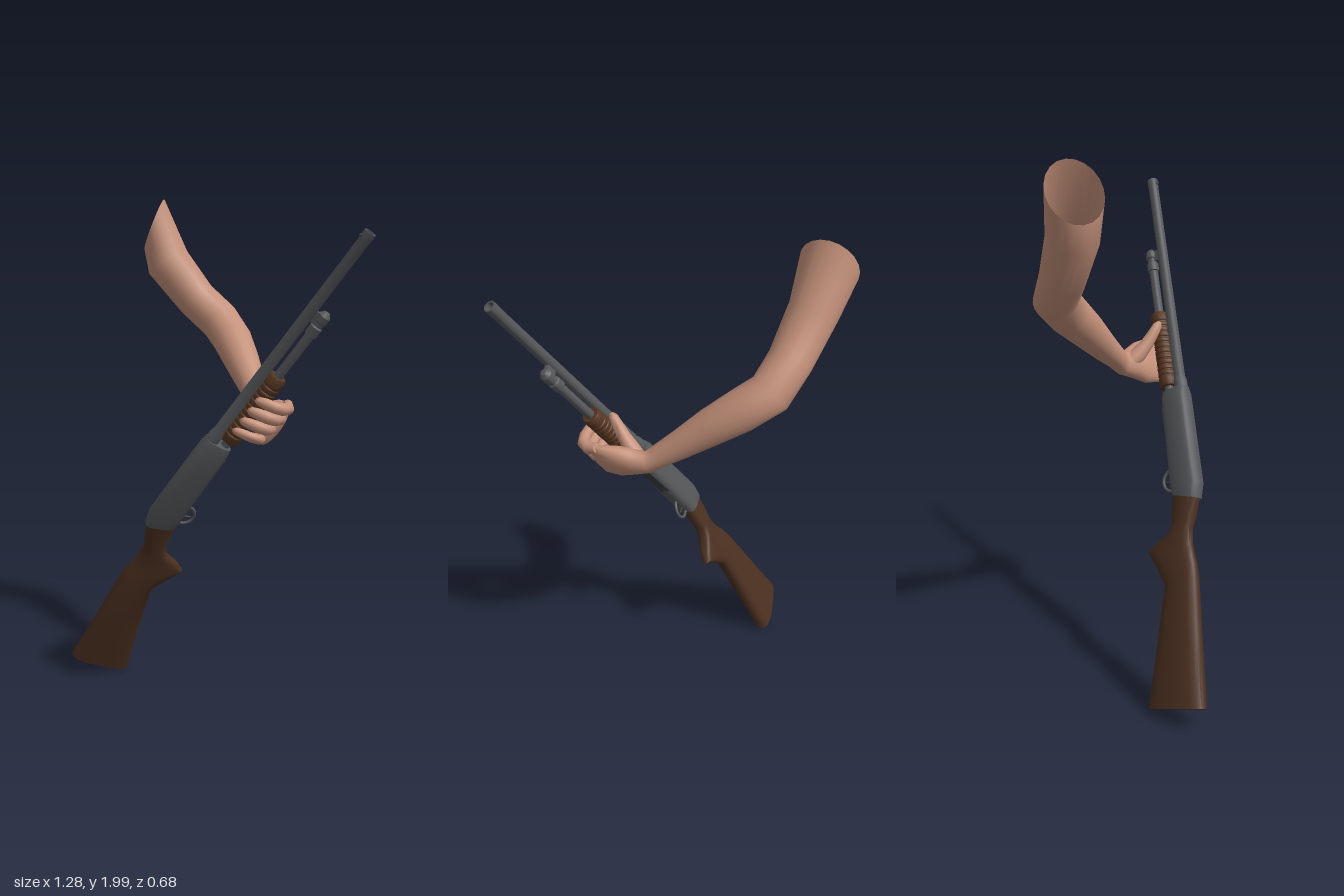
import * as THREE from 'three';
import { toCreasedNormals } from 'three/addons/utils/BufferGeometryUtils.js';

const V = (x, y, z) => new THREE.Vector3(x, y, z);
const paint = (name, color, side = THREE.FrontSide) => {
  const m = new THREE.MeshStandardMaterial({ color, side });
  m.name = name;
  return m;
};

// Shotgun frame: a runs to the muzzle, b up from the barrel, c to the side
const FORWARD = V(0.572, 0.79, -0.223).normalize();
const SIDE = FORWARD.clone().cross(V(-0.32, 0.46, 0.83)).normalize();
const UP = SIDE.clone().cross(FORWARD);
const FRAME = new THREE.Matrix4().makeBasis(FORWARD, UP, SIDE).setPosition(0.06, 1.08, 0.155);
const G = (a, b, c) => V(a, b, c).applyMatrix4(FRAME);

// Skin over rings; each ring has a centre c and half axes u, v
function loft(rings, { n = 16, power = 1, capStart = true, capEnd = true, crease = 0.7 } = {}) {
  const pos = [], idx = [];
  const bend = (t) => Math.sign(t) * Math.abs(t) ** power;
  for (const { c, u, v } of rings) {
    for (let j = 0; j < n; j++) {
      const t = (j / n) * Math.PI * 2;
      const p = c.clone().addScaledVector(u, bend(Math.cos(t))).addScaledVector(v, bend(Math.sin(t)));
      pos.push(p.x, p.y, p.z);
    }
  }
  const last = rings.length - 1;
  for (let i = 0; i < last; i++) {
    for (let j = 0; j < n; j++) {
      const k = (j + 1) % n, p = i * n, q = p + n;
      idx.push(p + j, p + k, q + k, p + j, q + k, q + j);
    }
  }
  const cap = (i, flip) => {
    const m = pos.length / 3, { c } = rings[i];
    pos.push(c.x, c.y, c.z);
    for (let j = 0; j < n; j++) {
      const p = i * n + j, q = i * n + ((j + 1) % n);
      idx.push(m, flip ? q : p, flip ? p : q);
    }
  };
  if (capStart) cap(0, true);
  if (capEnd) cap(last, false);
  const g = new THREE.BufferGeometry();
  g.setAttribute('position', new THREE.Float32BufferAttribute(pos, 3));
  g.setIndex(idx);
  return toCreasedNormals(g, crease);
}

// Limb through [point, radius along the gun, radius across]
function limb(list, opts = {}) {
  const rings = list.map(([c, ru, rv = ru], i) => {
    const before = list[Math.max(i - 1, 0)][0], after = list[Math.min(i + 1, list.length - 1)][0];
    const t = i === 0 && opts.startDir ? opts.startDir : after.clone().sub(before).normalize();
    const u = FORWARD.clone().addScaledVector(t, -FORWARD.dot(t)).normalize();
    const v = t.clone().cross(u);
    return { c, u: u.multiplyScalar(ru), v: v.multiplyScalar(rv) };
  });
  return loft(rings, { crease: 1.3, ...opts });
}

// Body along the gun from [top a, top b, bottom a, bottom b, half width]
const body = (list, power) => loft(list.map(([ta, tb, ba, bb, w]) => ({
  c: V((ta + ba) / 2, (tb + bb) / 2, 0),
  u: V((ta - ba) / 2, (tb - bb) / 2, 0),
  v: V(0, 0, w),
})), { n: 20, power });

// Turned part along the gun from [radius, a]
const turned = (points) => toCreasedNormals(
  new THREE.LatheGeometry(points.map(([r, a]) => new THREE.Vector2(r, a)), 16).rotateZ(-Math.PI / 2), 0.6);

export function createModel() {
  const steel = paint('steel', 0x555759);
  const darkSteel = paint('dark steel', 0x3b3d3f);
  const wood = paint('stock wood', 0x4b3020);
  const pumpWood = paint('pump wood', 0x55351f);
  const skin = paint('skin', 0xc4917a, THREE.DoubleSide);

  const model = new THREE.Group();
  const gun = new THREE.Group();
  gun.name = 'shotgun';
  gun.applyMatrix4(FRAME);
  const arm = new THREE.Group();
  arm.name = 'arm';
  model.add(gun, arm);
  const add = (parent, name, geometry, material, x = 0, y = 0, z = 0) => {
    const mesh = new THREE.Mesh(geometry, material);
    mesh.name = name;
    mesh.position.set(x, y, z);
    parent.add(mesh);
    return mesh;
  };

  // Wooden stock with pistol grip
  add(gun, 'stock', body([
    [-1.19, -0.088, -1.15, -0.34, 0.042],
    [-0.95, -0.068, -0.93, -0.262, 0.042],
    [-0.72, -0.045, -0.72, -0.192, 0.037],
    [-0.67, -0.043, -0.635, -0.225, 0.034],
    [-0.63, -0.047, -0.575, -0.255, 0.03],
    [-0.59, -0.05, -0.55, -0.215, 0.03],
    [-0.53, -0.042, -0.535, -0.155, 0.03],
    [-0.49, -0.02, -0.5, -0.122, 0.031],
    [-0.4, 0.018, -0.36, -0.098, 0.033],
  ], 0.75), wood);

  // Receiver with loading port, trigger and guard
  add(gun, 'receiver', body([
    [-0.43, 0.012, -0.39, -0.1, 0.034],
    [-0.37, 0.029, -0.35, -0.102, 0.04],
    [-0.1, 0.03, -0.1, -0.092, 0.04],
    [0, 0.03, 0, -0.088, 0.04],
    [0.03, 0.026, 0.03, -0.083, 0.034],
  ], 0.6), steel);
  add(gun, 'loadingPort', new THREE.BoxGeometry(0.17, 0.008, 0.036), darkSteel, -0.11, -0.091, 0);
  add(gun, 'triggerGuard', new THREE.TorusGeometry(0.042, 0.006, 8, 24), steel, -0.325, -0.103, 0);
  const trigger = add(gun, 'trigger', new THREE.CylinderGeometry(0.005, 0.004, 0.04, 8), darkSteel, -0.33, -0.112, 0);
  trigger.rotation.z = 0.3;

  // Hollow barrel with bead sight
  add(gun, 'barrel', turned([
    [0.027, 0], [0.027, 0.06], [0.022, 0.08], [0.021, 0.96], [0.022, 0.965],
    [0.022, 1], [0.016, 1], [0.016, 0.9], [0, 0.9],
  ]), steel);
  add(gun, 'beadSight', new THREE.SphereGeometry(0.006, 10, 8), darkSteel, 0.975, 0.024, 0);

  // Magazine tube, end cap and clamp
  add(gun, 'magazineTube', turned([
    [0.018, 0], [0.018, 0.58], [0.024, 0.58], [0.024, 0.615], [0.019, 0.62],
    [0.019, 0.635], [0.024, 0.64], [0.024, 0.665], [0.012, 0.68], [0, 0.682],
  ]), steel, 0, -0.058, 0);
  add(gun, 'barrelClamp', new THREE.BoxGeometry(0.045, 0.045, 0.016), steel, 0.645, -0.028, 0);

  // Grooved sliding fore-end
  const grip = [[0.018, 0.055], [0.033, 0.055], [0.037, 0.065]];
  for (let i = 0; i < 11; i++) {
    const a = 0.09 + i * 0.024;
    grip.push([0.037, a], [0.034, a + 0.004], [0.034, a + 0.008], [0.037, a + 0.012]);
  }
  grip.push([0.037, 0.37], [0.032, 0.38], [0.018, 0.38]);
  add(gun, 'pumpGrip', turned(grip), pumpWood, 0, -0.058, 0);

  // Open-ended arm running into the palm
  add(arm, 'armAndPalm', limb([
    [V(-0.55, 1.895, -0.11), 0.112, 0.112],
    [V(-0.494, 1.74, -0.135), 0.093],
    [V(-0.39, 1.59, -0.2), 0.083],
    [V(-0.3, 1.5, -0.25), 0.083],
    [V(-0.2, 1.43, -0.227), 0.08],
    [V(-0.1, 1.353, -0.185), 0.07],
    [V(0, 1.27, -0.142), 0.055],
    [V(0.075, 1.212, -0.11), 0.044],
    [G(0.165, -0.174, -0.135), 0.045, 0.04],
    [G(0.18, -0.168, -0.085), 0.064, 0.045],
    [G(0.195, -0.162, -0.03), 0.088, 0.045],
    [G(0.215, -0.152, 0.025), 0.095, 0.036],
    [G(0.225, -0.138, 0.06), 0.086, 0.018],
  ], { n: 20, capStart: false, startDir: V(0.66, -0.38, -0.65).normalize() }), skin);

  // Four fingers wrapped round the fore-end
  for (let i = 0; i < 4; i++) {
    const a = 0.152 + i * 0.05, r = [0.019, 0.022, 0.023, 0.022][i];
    add(arm, 'finger' + (i + 1), limb([
      [G(a, -0.155, 0.01), r * 0.9],
      [G(a, -0.148, 0.045), r * 1.1],
      [G(a, -0.12, 0.071), r * 1.08],
      [G(a - 0.007, -0.085, 0.074), r],
      [G(a - 0.015, -0.05, 0.062), r * 0.92],
      [G(a - 0.022, -0.028, 0.051), r * 0.72],
      [G(a - 0.025, -0.018, 0.046), r * 0.3],
    ], { n: 12 }), skin);
  }

  // Thumb along the other side
  add(arm, 'thumb', limb([
    [G(0.175, -0.16, -0.1), 0.034],
    [G(0.205, -0.125, -0.082), 0.032],
    [G(0.24, -0.09, -0.067), 0.026],
    [G(0.275, -0.06, -0.058), 0.022],
    [G(0.305, -0.036, -0.052), 0.018],
    [G(0.318, -0.025, -0.049), 0.007],
  ], { n: 12 }), skin);

  return model;
}
